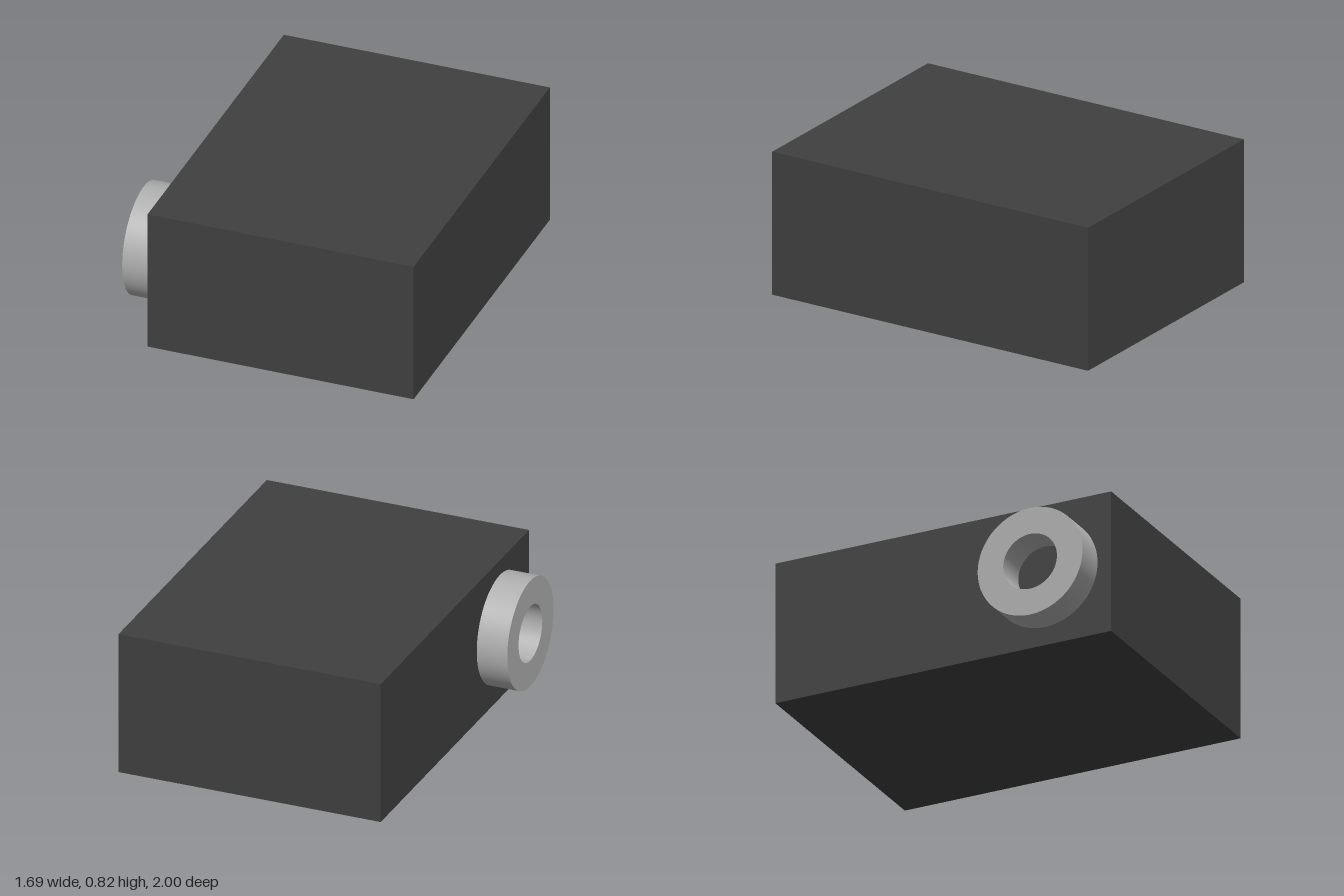
import * as THREE from 'three';

export function createModel() {
  const model = new THREE.Group();

  // Plain rectangular housing
  const housing = new THREE.Mesh(
    new THREE.BoxGeometry(1.514, 0.817, 2),
    new THREE.MeshStandardMaterial({ color: 0x404040 })
  );
  housing.name = 'housing';
  housing.position.set(0.086, 0.4085, 0);
  model.add(housing);

  // Hollow collar on the right side, near the front
  const outer = 0.312, inner = 0.16, depth = 0.176;
  const ring = new THREE.Shape().absarc(0, 0, outer, 0, Math.PI * 2, false);
  ring.holes.push(new THREE.Path().absarc(0, 0, inner, 0, Math.PI * 2, true));
  const geometry = new THREE.ExtrudeGeometry(ring, { depth, bevelEnabled: false, curveSegments: 64 });

  // Smooth the round walls: their normals point straight out from (or in to) the axis
  const { position, normal } = geometry.attributes;
  for (let i = 0; i < position.count; i++) {
    if (Math.abs(normal.getZ(i)) > 0.5) continue;
    const x = position.getX(i), y = position.getY(i), r = Math.hypot(x, y);
    const sign = r > (outer + inner) / 2 ? 1 : -1;
    normal.setXYZ(i, sign * x / r, sign * y / r, 0);
  }

  const collar = new THREE.Mesh(geometry, new THREE.MeshStandardMaterial({ color: 0xb0b0b0 }));
  collar.name = 'collar';
  collar.rotation.y = -Math.PI / 2;
  collar.position.set(-0.671, 0.418, 0.607);
  model.add(collar);

  return model;
}
